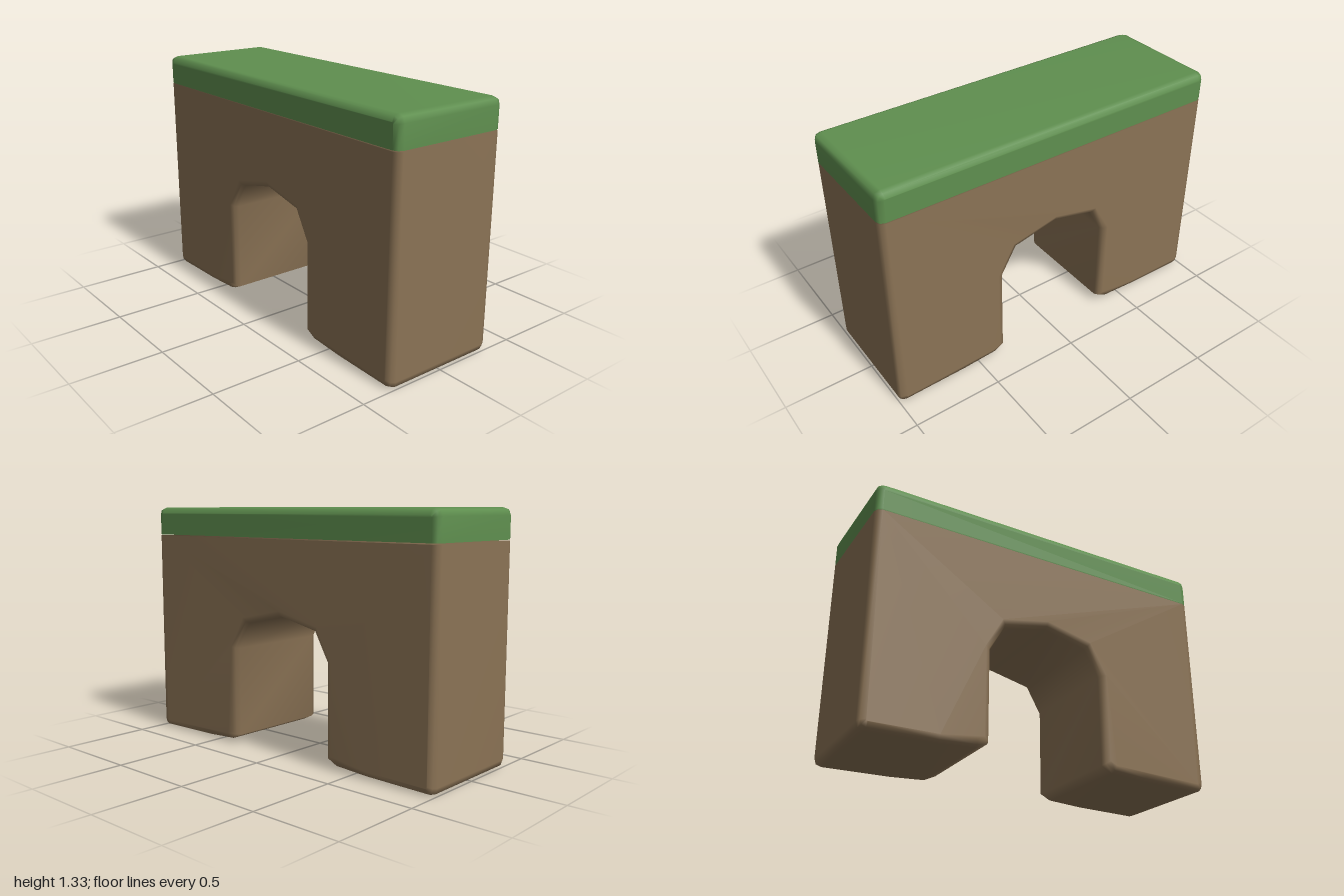
import * as THREE from 'three';
import { mergeVertices } from 'three/addons/utils/BufferGeometryUtils.js';

const HALF_DEPTH = 0.333;
const BEVEL = 0.035;
const JOINT = 1.17;

// Closes a right-hand half profile with its mirror image
function mirrored(right) {
  const left = right.filter(([x]) => x > 0).map(([x, y]) => [-x, y]).reverse();
  return [...right, ...left].map(([x, y]) => new THREE.Vector2(x, y));
}

// Softly bevelled slab along z; the edge at the joint stays straight and crisp
function softBlock(name, profile, color, jointY) {
  let geo = new THREE.ExtrudeGeometry(new THREE.Shape(mirrored(profile)), {
    depth: 2 * (HALF_DEPTH - BEVEL),
    bevelEnabled: true,
    bevelThickness: BEVEL,
    bevelSize: BEVEL,
    bevelOffset: -BEVEL,
    bevelSegments: 2,
  });
  geo.translate(0, 0, BEVEL - HALF_DEPTH);
  geo.deleteAttribute('uv');
  geo.deleteAttribute('normal');

  const pos = geo.attributes.position;
  const atJoint = (i, p) => Math.abs(p.getY(i) - jointY) < BEVEL + 0.002;
  for (let i = 0; i < pos.count; i++) if (atJoint(i, pos)) pos.setY(i, jointY);

  geo = mergeVertices(geo, 1e-4);
  geo.computeVertexNormals();
  const normal = geo.attributes.normal;
  const v = new THREE.Vector3();
  for (let i = 0; i < normal.count; i++) {
    if (!atJoint(i, geo.attributes.position)) continue;
    v.fromBufferAttribute(normal, i).setY(0).normalize();
    normal.setXYZ(i, v.x, v.y, v.z);
  }

  const mesh = new THREE.Mesh(geo, new THREE.MeshStandardMaterial({ color }));
  mesh.name = name;
  return mesh;
}

export function createModel() {
  const model = new THREE.Group();
  model.name = 'archBlock';

  // Earth body: arch crown, inner wall, leg foot, outer wall
  const body = [
    [0, 0.755], [0.25, 0.7], [0.335, 0.55],
    [0.335, 0.05], [0.4, 0.018], [0.6, 0.006],
    [0.96, 0], [0.99, 0.01], [1, 0.04],
    [1, JOINT - 0.003],
  ];
  model.add(softBlock('archBody', body, 0x8b7355, JOINT - 0.003));

  // Grass cap with rounded upper edges
  const cap = [
    [1, JOINT + 0.003], [1, 1.293], [0.99, 1.323], [0.96, 1.333],
  ];
  model.add(softBlock('grassCap', cap, 0x5f8f4f, JOINT + 0.003));

  return model;
}
